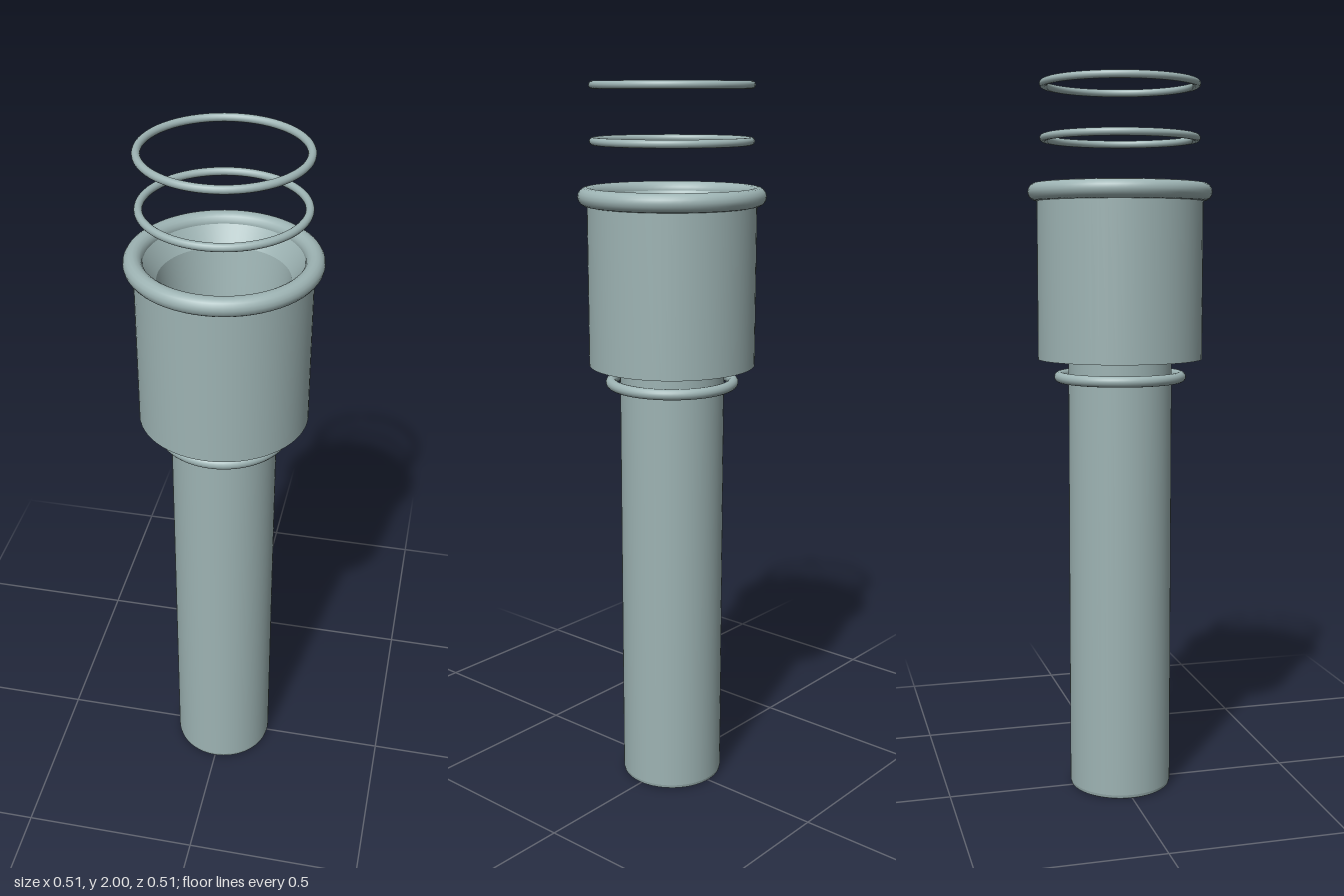
import * as THREE from 'three';
import { mergeGeometries } from 'three/addons/utils/BufferGeometryUtils.js';

const SIDES = 64;

// Revolves a closed profile [radius, y], one band per edge so corners stay crisp.
// Order: outside going up, top inward, bore going down, bottom outward.
function turned(profile) {
  const bands = profile.map((p, i) => {
    const q = profile[(i + 1) % profile.length];
    return new THREE.LatheGeometry([new THREE.Vector2(...p), new THREE.Vector2(...q)], SIDES);
  });
  return mergeGeometries(bands);
}

// Horizontal ring with a round section
function ring(radius, thickness, y) {
  return new THREE.TorusGeometry(radius, thickness, 16, SIDES).rotateX(Math.PI / 2).translate(0, y, 0);
}

export function createModel() {
  const model = new THREE.Group();
  model.name = 'fitting';

  const metal = new THREE.MeshStandardMaterial({ color: 0x9db3b3 });
  metal.name = 'greyGreenMetal';

  const add = (name, geometry) => {
    const mesh = new THREE.Mesh(geometry, metal);
    mesh.name = name;
    model.add(mesh);
  };

  // Long hollow stem with a softened lower edge
  add('stem', turned([
    [0.138, 0], [0.143, 0.003], [0.145, 0.012], [0.145, 1.26],
    [0.105, 1.26], [0.105, 0.06], [0.115, 0],
  ]));

  // Wide collar with a funnel bore leading into the stem
  add('collar', turned([
    [0.23, 1.24], [0.23, 1.70], [0.205, 1.70],
    [0.172, 1.65], [0.105, 1.26], [0.14, 1.24],
  ]));

  // Rolled lip, stem ring and the two loose rings above
  add('collarLip', ring(0.23, 0.025, 1.70));
  add('stemRing', ring(0.17, 0.015, 1.19));
  add('lowerLooseRing', ring(0.2105, 0.0105, 1.845));
  add('upperLooseRing', ring(0.2105, 0.0105, 1.9895));

  return model;
}
